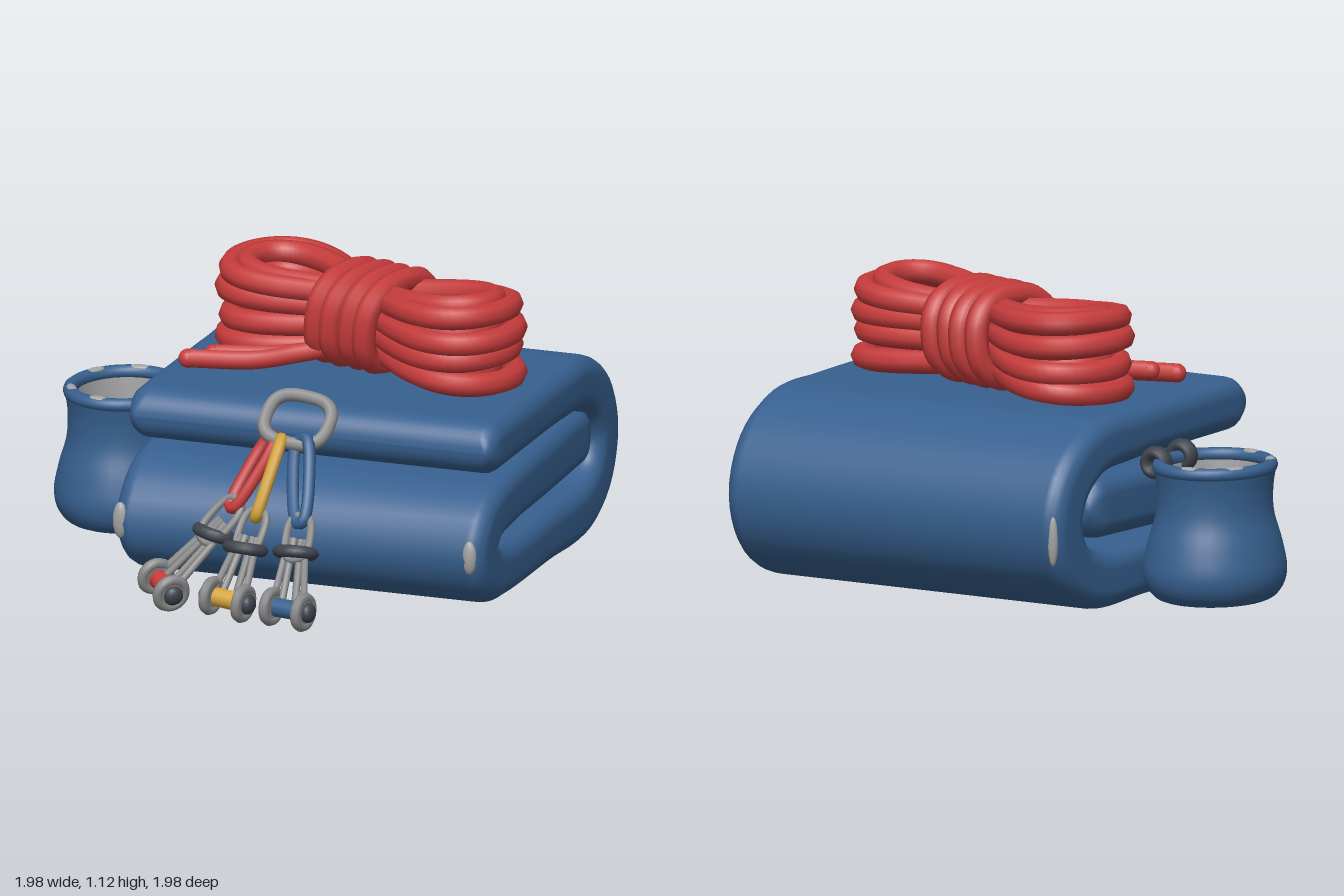
import * as THREE from 'three';

const V = (x, y, z) => new THREE.Vector3(x, y, z);
const mat = (name, color, side = THREE.FrontSide) => {
  const m = new THREE.MeshStandardMaterial({ color, side });
  m.name = name;
  return m;
};

export function createModel() {
  const blue = mat('blue fabric', 0x37608f);
  const red = mat('red cord', 0xc63c3c);
  const metal = mat('grey metal', 0x8a8a8a);
  const dark = mat('dark rubber', 0x3d434d);
  const yellow = mat('yellow metal', 0xd4a43c);
  const lining = mat('pale lining', 0xa2a2a2, THREE.DoubleSide);

  const model = new THREE.Group();
  const group = (name, parent = model) => {
    const g = new THREE.Group();
    g.name = name;
    parent.add(g);
    return g;
  };
  const add = (parent, name, geo, material, pos) => {
    const m = new THREE.Mesh(geo, material);
    m.name = name;
    if (pos) m.position.copy(pos);
    parent.add(m);
    return m;
  };
  const tube = (parent, name, pts, r, material, closed, seg = 64) =>
    add(parent, name, new THREE.TubeGeometry(new THREE.CatmullRomCurve3(pts, closed), seg, r, 8, closed), material);
  const blob = (parent, name, pos, sx, sy, sz, material) => {
    const m = add(parent, name, new THREE.SphereGeometry(1, 14, 10), material, pos);
    m.scale.set(sx, sy, sz);
    return m;
  };
  // cylinder between two points
  const rod = (parent, name, a, b, r, material, sides = 8) => {
    const d = b.clone().sub(a);
    const m = add(parent, name, new THREE.CylinderGeometry(r, r, d.length(), sides), material, a.clone().lerp(b, 0.5));
    m.quaternion.setFromUnitVectors(V(0, 1, 0), d.normalize());
    return m;
  };
  // elongated ring whose long axis runs from a to b
  const link = (parent, name, a, b, side, width, r, material, egg = 0) => {
    const c = a.clone().lerp(b, 0.5), d = b.clone().sub(a).multiplyScalar(0.5);
    const dn = d.clone().normalize();
    const s = side.clone().addScaledVector(dn, -side.dot(dn)).normalize();
    const pts = [];
    for (let i = 0; i < 20; i++) {
      const t = i / 20 * Math.PI * 2, cs = Math.cos(t), sn = Math.sin(t);
      pts.push(c.clone().addScaledVector(d, Math.sign(cs) * Math.abs(cs) ** 0.75)
        .addScaledVector(s, Math.sign(sn) * Math.abs(sn) ** 0.65 * width / 2 * (1 - egg * cs)));
    }
    return tube(parent, name, pts, r, material, true, 48);
  };

  // Folded pad: rounded slab swept along a path of (z, y, half thickness)
  function padGeometry() {
    const path = new THREE.CatmullRomCurve3([
      [0.4, 0.64, 0.1], [0, 0.64, 0.1], [-0.4, 0.637, 0.1], [-0.65, 0.62, 0.107], [-0.82, 0.52, 0.112],
      [-0.885, 0.37, 0.112], [-0.83, 0.22, 0.112], [-0.68, 0.135, 0.112], [-0.3, 0.125, 0.105],
      [0.15, 0.125, 0.105], [0.3, 0.155, 0.115], [0.365, 0.25, 0.115], [0.28, 0.345, 0.112],
      [0.1, 0.378, 0.113], [-0.3, 0.395, 0.118], [-0.76, 0.41, 0.118],
    ].map(p => V(...p)));
    const len = path.getLength(), us = [], R = 0.1;
    for (let i = 0; i <= 8; i++) us.push(R / len * (1 - Math.cos(i / 8 * Math.PI / 2)));
    const ends = us.map(u => 1 - u).reverse();
    for (let i = 1; i < 110; i++) us.push(R / len + (1 - 2 * R / len) * i / 110);
    us.push(...ends);
    const pos = [], idx = [], n = 24;
    us.forEach((u, i) => {
      const p = path.getPointAt(u), tg = path.getTangentAt(u);
      const l = Math.hypot(tg.x, tg.y), tz = tg.x / l, ty = tg.y / l;
      const e = Math.min(1, Math.min(u, 1 - u) * len / R);
      const f = Math.sqrt(Math.max(0, 1 - (1 - e) ** 2));
      const t = p.z * f, r = Math.min(0.07, t * 0.9), hw = 0.735 - 0.04 * (1 - f), cx = 0.245 - 0.03 * u;
      for (let j = 0; j < n; j++) {
        const q = Math.floor(j / 6), a = (q + (j % 6) / 5) * Math.PI / 2;
        const sx = q === 0 || q === 3 ? 1 : -1, sy = q < 2 ? 1 : -1;
        const x = sx * (hw - r) + r * Math.cos(a), h = sy * (t - r) + r * Math.sin(a);
        pos.push(cx + x, p.y - tz * h, p.x + ty * h);
        if (i < us.length - 1) {
          const k = (j + 1) % n, A = i * n + j, B = i * n + k;
          idx.push(A, A + n, B, B, A + n, B + n);
        }
      }
    });
    const g = new THREE.BufferGeometry();
    g.setAttribute('position', new THREE.Float32BufferAttribute(pos, 3));
    g.setIndex(idx);
    g.computeVertexNormals();
    return g;
  }
  const pad = group('foldedPad');
  add(pad, 'padSlab', padGeometry(), blue);
  // worn corner patches
  blob(pad, 'wornPatch', V(-0.485, 0.25, 0.455), 0.03, 0.07, 0.022, lining);
  blob(pad, 'wornPatch', V(0.905, 0.25, 0.46), 0.028, 0.065, 0.022, lining);
  blob(pad, 'wornPatch', V(-0.465, 0.33, -0.972), 0.02, 0.1, 0.02, lining);

  // Round bag with pale lining
  const bag = group('pouch');
  bag.position.set(-0.74, 0, -0.27);
  bag.scale.z = 1.1;
  const lathe = pts => new THREE.LatheGeometry(new THREE.SplineCurve(pts.map(p => new THREE.Vector2(...p))).getPoints(30), 36);
  add(bag, 'pouchBody', lathe([[0, 0.02], [0.16, 0.022], [0.23, 0.05], [0.262, 0.13], [0.245, 0.24], [0.215, 0.35], [0.212, 0.45], [0.225, 0.54]]), blue);
  add(bag, 'pouchLining', lathe([[0, 0.16], [0.15, 0.17], [0.18, 0.25], [0.175, 0.4], [0.185, 0.53]]), lining);
  const rim = add(bag, 'pouchRim', new THREE.TorusGeometry(0.203, 0.026, 10, 40), blue, V(0, 0.53, 0));
  rim.rotation.x = Math.PI / 2;
  for (const a of [1.7, 2.55, 3.75, 4.6]) {
    const p = blob(bag, 'wornPatch', V(0.2 * Math.cos(a), 0.548, 0.2 * Math.sin(a)), 0.018, 0.011, 0.045, lining);
    p.rotation.y = -a;
  }
  for (const z of [-0.37, -0.19])
    add(model, 'pouchLoop', new THREE.TorusGeometry(0.04, 0.024, 10, 24), dark, V(-0.545, 0.535, z)).scale.z = 1.4;

  // Coiled rope: stacked figure eights
  const rope = group('ropeCoil');
  rope.position.set(0.25, 0, -0.24);
  rope.rotation.y = -0.29;
  for (let k = 0; k < 4; k++) for (let j = 0; j < 2; j++) {
    const pts = [], U = (j ? 0.545 : 0.615) - 0.02 * ((k + j) % 2), W = j ? 0.135 : 0.2;
    for (let i = 0; i < 32; i++) {
      const t = i / 32 * Math.PI * 2, c = Math.cos(t);
      const y = 0.79 + k * 0.089 + (j ? 0.012 : -0.005) + 0.012 * Math.sin(t + k * 2 + j);
      pts.push(V(U * c, 0.92 + (y - 0.92) * (0.7 + 0.3 * Math.abs(c)), W * Math.sin(2 * t)));
    }
    tube(rope, 'ropeStrand', pts, 0.045, red, true, 110);
  }
  // binding turns around the middle
  for (let k = 0; k < 4; k++) {
    const pts = [];
    for (let i = 0; i < 20; i++) {
      const t = i / 20 * Math.PI * 2, c = Math.cos(t), s = Math.sin(t);
      pts.push(V((k - 1.5) * 0.078 + 0.02 * s, 0.93 + 0.155 * Math.sign(s) * Math.abs(s) ** 0.8,
        (0.185 + 0.012 * (k % 2)) * Math.sign(c) * Math.abs(c) ** 0.8));
    }
    tube(rope, 'ropeBinding', pts, 0.045, red, true);
  }
  // loose tail
  const tail = group('ropeTail');
  for (const [dx, dz, y] of [[0, 0, 0.785], [0.04, -0.055, 0.795]]) {
    const pts = [V(0.2, 0.83, -0.18), V(0.02 + dx, 0.8, -0.08 + dz), V(-0.12 + dx, y, 0.01 + dz), V(-0.36 + dx * 2, y, 0.075 + dz)];
    tube(tail, 'tailStrand', pts, 0.036, red, false, 30);
    blob(tail, 'tailTip', pts[3], 0.036, 0.036, 0.036, red);
  }

  // Hanging gear: one main clip with three coloured clips and cams
  const gear = group('hangingGear');
  link(gear, 'mainClip', V(0.22, 0.775, 0.355), V(0.2, 0.635, 0.5), V(1, -0.05, 0), 0.25, 0.026, metal);

  function cam(name, colour, a, b, side, ringAt, head, axle) {
    const g = group(name, gear);
    link(g, 'colouredClip', a, b, side, 0.085, 0.023, colour, 0.15);
    const dir = head.clone().sub(b);
    link(g, 'thumbLoop', b.clone().addScaledVector(dir, -0.1), b.clone().addScaledVector(dir, 0.42), V(1, 0, 0.2), 0.1, 0.015, metal);
    // dark grip ring across the stems
    const grip = add(g, 'gripRing', new THREE.TorusGeometry(0.05, 0.024, 10, 24), dark, ringAt);
    grip.quaternion.setFromUnitVectors(V(0, 0, 1), V(dir.x * 0.3, dir.y, dir.z * 0.5).normalize());
    grip.scale.x = 1.2;
    const ax = axle.clone().normalize();
    const at = s => head.clone().addScaledVector(ax, s);
    // four stems from the grip to the lobes
    for (const s of [-0.07, -0.03, 0.03, 0.07])
      rod(g, 'stem', ringAt.clone().addScaledVector(ax, s * 0.5).addScaledVector(dir, -0.15), at(s), 0.014, metal);
    rod(g, 'spool', at(-0.05), at(0.05), 0.036, colour, 16);
    for (const s of [-1, 1]) {
      rod(g, 'lobe', at(s * 0.055), at(s * 0.085), 0.06, metal, 20);
      const edge = add(g, 'lobeRim', new THREE.TorusGeometry(0.055, 0.02, 8, 24), metal, at(s * 0.07));
      edge.quaternion.setFromUnitVectors(V(0, 0, 1), ax);
      const cap = blob(g, 'endCap', at(s * 0.092), 0.038, 0.038, 0.026, dark);
      cap.quaternion.setFromUnitVectors(V(0, 0, 1), ax);
    }
  }
  cam('redCam', red, V(0.13, 0.645, 0.47), V(0.01, 0.39, 0.6), V(0.6, 0, 0.6),
    V(-0.05, 0.29, 0.62), V(-0.21, 0.105, 0.73), V(0.1, -0.03, 0.1));
  cam('yellowCam', yellow, V(0.17, 0.645, 0.49), V(0.13, 0.38, 0.66), V(0.3, 0.3, 0.8),
    V(0.115, 0.28, 0.73), V(0.085, 0.11, 0.84), V(1, -0.06, 0.2));
  cam('blueCam', blue, V(0.25, 0.655, 0.49), V(0.31, 0.38, 0.67), V(0.8, 0, 0.45),
    V(0.315, 0.285, 0.73), V(0.345, 0.115, 0.895), V(1, 0, 0.22));

  return model;
}
